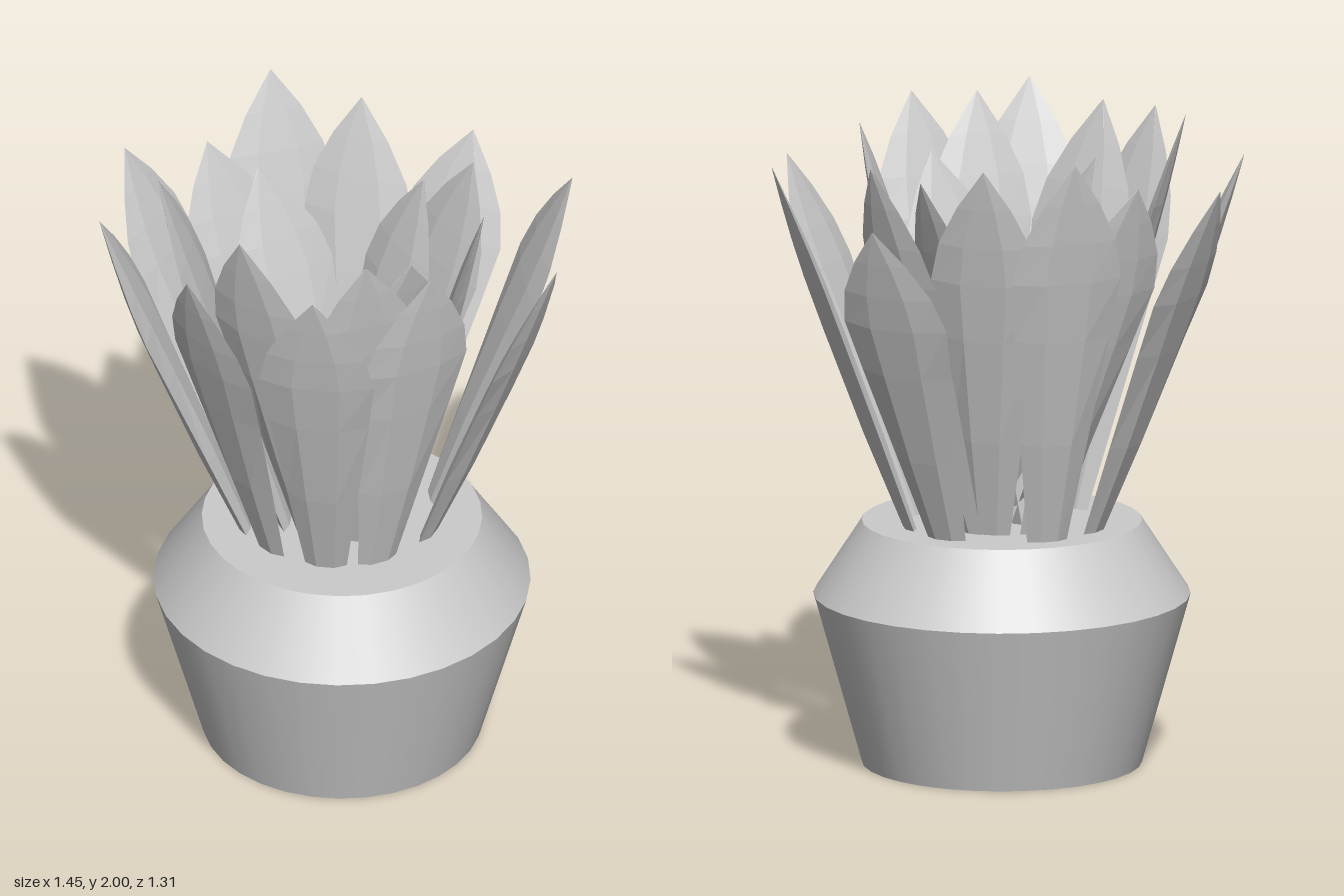
import * as THREE from 'three';

const grey = new THREE.MeshStandardMaterial({ color: 0xcccccc });
const leafGrey = new THREE.MeshStandardMaterial({ color: 0xcccccc, flatShading: true, side: THREE.DoubleSide });

// Each leaf: tip x, y, z, then the bearing of its root and the bearing it faces, in degrees.
// Each ring is rooted at its own distance from the middle.
const rings = [
  { name: 'outerLeaf', root: 0.285, leaves: [
    [0.72, 1.83, 0, 0, 0], [0.47, 1.97, 0.37, 43, 40], [0.2, 1.98, 0.65, 74, 74],
    [-0.22, 1.93, 0.64, 112, 115], [-0.63, 1.87, 0.37, 140, 155], [-0.73, 1.85, -0.04, 180, 184],
    [-0.42, 1.98, -0.43, 220, 227], [0.15, 1.77, -0.66, 283, 275], [0.59, 1.88, -0.41, 322, 328]] },
  { name: 'middleLeaf', root: 0.165, leaves: [
    [0.47, 1.95, -0.02, 15, 344], [0.27, 1.98, 0.41, 35, 46], [-0.13, 1.98, 0.45, 92, 101],
    [-0.48, 2.0, 0.27, 135, 162], [-0.51, 1.86, -0.16, 212, 212], [-0.13, 1.94, -0.46, 262, 266],
    [0.29, 1.89, -0.35, 285, 301]] },
  { name: 'innerLeaf', root: -0.03, leaves: [
    [0.31, 1.84, 0.16, 30, 33], [-0.16, 1.83, 0.33, 120, 124], [-0.33, 1.83, -0.14, 205, 210],
    [0.16, 1.84, -0.27, 302, 306]] },
];

// Half width and thickness factor along a leaf: [t, half width, thickness]
const stations = [
  [0, 0.06, 0.6], [0.28, 0.108, 1], [0.55, 0.153, 1], [0.7, 0.176, 0.9],
  [0.8, 0.15, 0.7], [0.9, 0.088, 0.4], [1, 0.002, 0.03],
];
// Lens-shaped cross-section: [across, outward]
const section = [[1, -0.004], [0.42, 0.026], [-0.42, 0.026], [-1, -0.004], [-0.42, -0.024], [0.42, -0.024]];

// Faceted, pointed leaf running from its root to its tip
function leafGeometry([x, y, z, rootBearing, facing], rootRadius) {
  const r = THREE.MathUtils.degToRad(rootBearing), f = THREE.MathUtils.degToRad(facing);
  const base = new THREE.Vector3(Math.cos(r) * rootRadius, 0.72, Math.sin(r) * rootRadius);
  const along = new THREE.Vector3(x, y, z).sub(base);
  const side = new THREE.Vector3(-Math.sin(f), 0, Math.cos(f));
  const out = along.clone().cross(side).normalize();
  const positions = [], index = [], n = section.length;

  for (const [t, half, thick] of stations) {
    for (const [s, o] of section) {
      const p = base.clone().addScaledVector(along, t)
        .addScaledVector(side, s * half).addScaledVector(out, o * thick);
      positions.push(p.x, p.y, p.z);
    }
  }
  for (let j = 0; j < stations.length - 1; j++) {
    for (let i = 0; i < n; i++) {
      const a = j * n + i, b = j * n + (i + 1) % n;
      index.push(a, b, b + n, a, b + n, a + n);
    }
  }
  // Root cap
  for (let i = 1; i < n - 1; i++) index.push(0, i + 1, i);

  const g = new THREE.BufferGeometry();
  g.setAttribute('position', new THREE.Float32BufferAttribute(positions, 3));
  g.setIndex(index);
  const flat = g.toNonIndexed();
  flat.computeVertexNormals();
  return flat;
}

function addPart(parent, name, geometry, y) {
  const mesh = new THREE.Mesh(geometry, grey);
  mesh.name = name;
  mesh.position.y = y;
  parent.add(mesh);
}

export function createModel() {
  const model = new THREE.Group();
  model.name = 'pottedSucculent';

  // Pot: flared body, inward-sloping shoulder, flat soil and base
  const pot = new THREE.Group();
  pot.name = 'pot';
  pot.position.set(0.022, 0, 0.03);
  addPart(pot, 'potBody', new THREE.CylinderGeometry(0.572, 0.425, 0.523, 32, 1, true), 0.2615);
  addPart(pot, 'potShoulder', new THREE.CylinderGeometry(0.425, 0.572, 0.227, 32, 1, true), 0.6365);
  addPart(pot, 'soil', new THREE.CircleGeometry(0.425, 32).rotateX(-Math.PI / 2), 0.75);
  addPart(pot, 'potBase', new THREE.CircleGeometry(0.425, 32).rotateX(Math.PI / 2), 0);
  model.add(pot);

  // Rosette of leaves
  for (const { name, root, leaves } of rings) {
    const ring = new THREE.Group();
    ring.name = name + 'Ring';
    for (const spec of leaves) {
      const leaf = new THREE.Mesh(leafGeometry(spec, root), leafGrey);
      leaf.name = name;
      ring.add(leaf);
    }
    model.add(ring);
  }
  return model;
}
